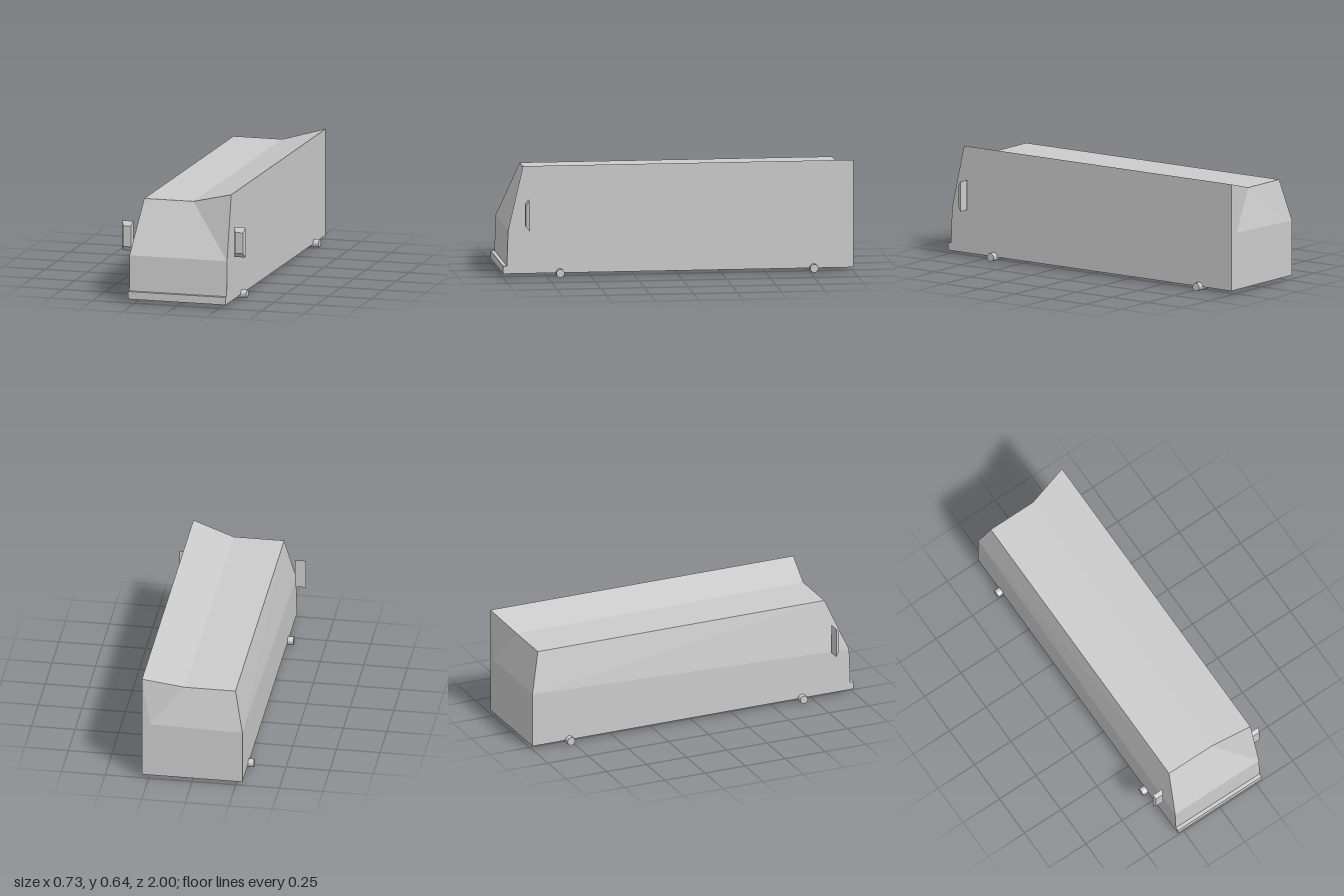
import * as THREE from 'three';

const material = new THREE.MeshStandardMaterial({ color: 0xcccccc, flatShading: true });

function addMesh(parent, name, geometry, x = 0, y = 0, z = 0) {
  const mesh = new THREE.Mesh(geometry, material);
  mesh.name = name;
  mesh.position.set(x, y, z);
  parent.add(mesh);
  return mesh;
}

// Faceted shell from named corners and polygons (counter-clockwise from outside).
function shell(corners, faces) {
  const positions = [];
  for (const face of faces) {
    for (let i = 1; i < face.length - 1; i++) {
      for (const key of [face[0], face[i], face[i + 1]]) positions.push(...corners[key]);
    }
  }
  const geometry = new THREE.BufferGeometry();
  geometry.setAttribute('position', new THREE.Float32BufferAttribute(positions, 3));
  geometry.computeVertexNormals();
  return geometry;
}

function bodyGeometry() {
  const w = 0.288, floor = 0.022, roof = 0.576, peak = 0.638;
  const corners = {
    // front end: floor, waist, roof line
    floorR: [-w, floor, 0.98], floorL: [w, floor, 0.98],
    waistR: [-w, 0.27, 0.972], waistL: [w, 0.27, 0.972],
    roofR: [-0.24, roof, 0.84], roofMid: [0.05, roof, 0.84], roofL: [w, peak, 0.887],
    // back end, with the corners of its sloping recess
    backFloorR: [-w, floor, -1], backFloorL: [w, floor, -1],
    backWaistR: [-w, 0.34, -1],
    recessR: [-0.24, 0.34, -1], recessL: [0.24, 0.35, -1],
    backRoofR: [-0.24, roof, -0.945], backRoofMid: [0.05, roof, -0.945], backRoofL: [w, peak, -1],
  };
  return shell(corners, [
    // front panel and windscreen
    ['floorR', 'floorL', 'waistL', 'waistR'],
    ['waistR', 'waistL', 'roofMid', 'roofR'],
    ['waistL', 'roofL', 'roofMid'],
    // flat left side
    ['floorL', 'backFloorL', 'backRoofL', 'roofL', 'waistL'],
    // folded right side
    ['backFloorR', 'floorR', 'waistR', 'backWaistR'],
    ['backWaistR', 'waistR', 'roofR', 'backRoofR'],
    // roof and floor
    ['roofR', 'roofMid', 'backRoofMid', 'backRoofR'],
    ['roofMid', 'roofL', 'backRoofL', 'backRoofMid'],
    ['backFloorR', 'backFloorL', 'floorL', 'floorR'],
    // back wall and recess
    ['backFloorL', 'backFloorR', 'backWaistR', 'recessR', 'recessL', 'backRoofL'],
    ['recessR', 'backRoofR', 'backRoofMid', 'recessL'],
    ['recessL', 'backRoofMid', 'backRoofL'],
    ['backWaistR', 'backRoofR', 'recessR'],
  ]);
}

// Box whose front face is drawn in to make a chamfered mirror housing.
function mirrorGeometry() {
  const geometry = new THREE.BoxGeometry(0.065, 0.172, 0.021);
  const p = geometry.attributes.position;
  for (let i = 0; i < p.count; i++) {
    if (p.getZ(i) > 0) p.setXY(i, p.getX(i) * 0.72, p.getY(i) * 0.7);
  }
  geometry.computeVertexNormals();
  return geometry;
}

export function createModel() {
  const model = new THREE.Group();
  model.name = 'bus';

  addMesh(model, 'body', bodyGeometry());
  addMesh(model, 'frontBumper', new THREE.BoxGeometry(0.576, 0.044, 0.03), 0, 0.044, 0.985);

  // Side mirrors
  addMesh(model, 'leftMirror', mirrorGeometry(), 0.331, 0.359, 0.868);
  addMesh(model, 'rightMirror', mirrorGeometry(), -0.331, 0.359, 0.868);

  // Axles
  for (const [name, z] of [['frontAxle', 0.677], ['rearAxle', -0.773]]) {
    const geometry = new THREE.CylinderGeometry(0.0235, 0.0235, 0.642, 16).rotateZ(Math.PI / 2);
    addMesh(model, name, geometry, 0, 0.0235, z);
  }
  return model;
}
